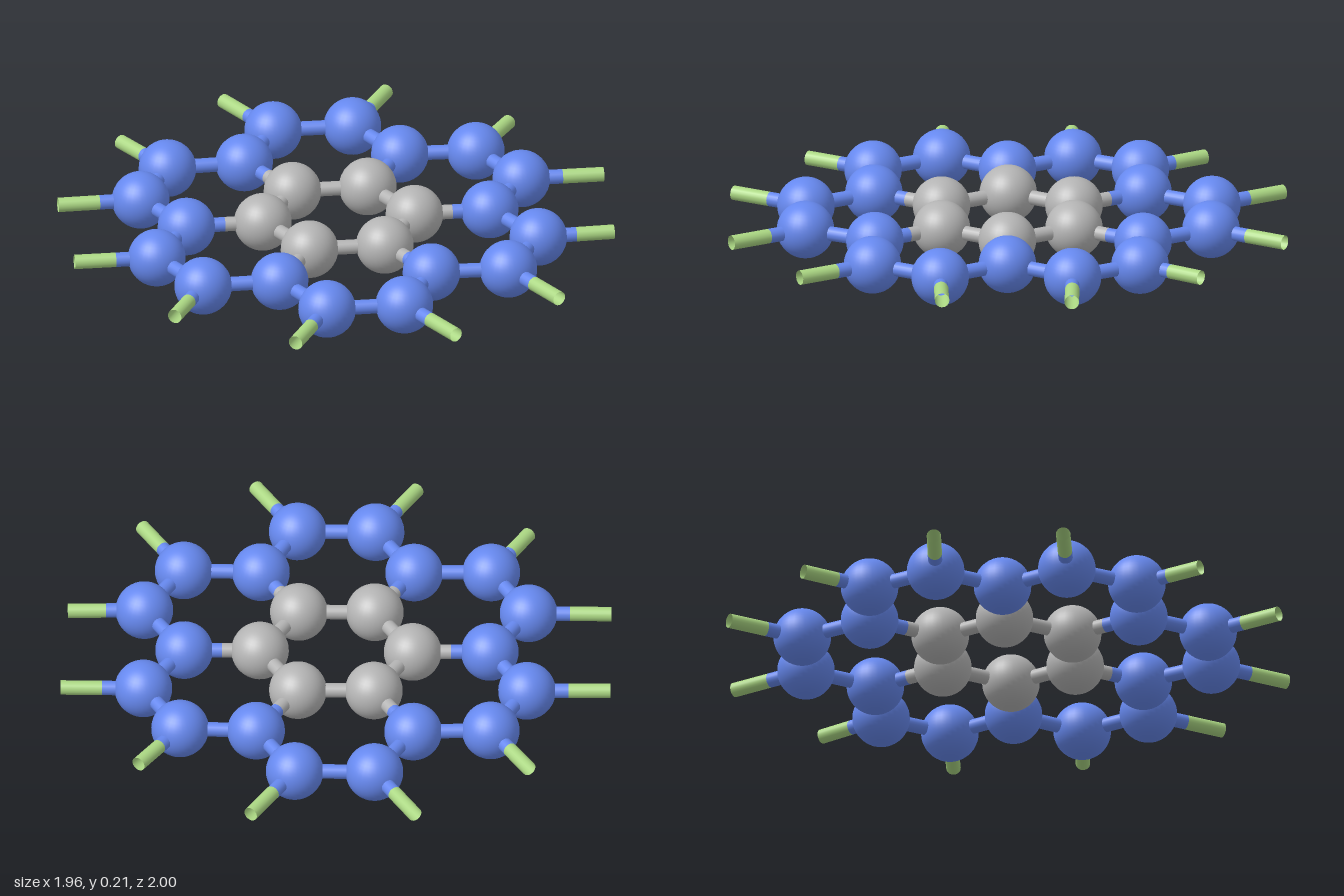
import * as THREE from 'three';

const Y = 0.104, ATOM_R = 0.103, BOND_R = 0.026;

// [x, z] atom centres: the inner ring, then the outer rim in order
const inner = [[0, -0.275], [0.235, -0.14], [0.235, 0.135], [0, 0.27], [-0.235, 0.135], [-0.235, -0.14]];
const rim = [
  [0, -0.56], [0.24, -0.705], [0.485, -0.56], [0.485, -0.28], [0.715, -0.135], [0.71, 0.14],
  [0.47, 0.27], [0.475, 0.55], [0.235, 0.69], [0, 0.545], [-0.235, 0.695], [-0.475, 0.555],
  [-0.475, 0.275], [-0.715, 0.14], [-0.71, -0.14], [-0.475, -0.275], [-0.475, -0.545], [-0.245, -0.69],
];
// Outer ends of the free bonds: [rim atom, x, z]
const tips = [
  [1, 0.24, -1], [2, 0.75, -0.71], [4, 0.95, -0.25], [5, 0.965, 0.29], [7, 0.715, 0.68], [8, 0.235, 0.99],
  [10, -0.235, 1], [11, -0.73, 0.705], [13, -0.945, 0.275], [14, -0.965, -0.29], [16, -0.735, -0.69], [17, -0.25, -0.96],
];

export function createModel() {
  const model = new THREE.Group();
  model.name = 'moleculeModel';
  const material = (color) => new THREE.MeshStandardMaterial({ color, side: THREE.DoubleSide });
  const grey = material(0xb4b4b4), blue = material(0x6688ee), green = material(0xabd783);
  const sphere = new THREE.SphereGeometry(ATOM_R, 32, 24);
  const tube = new THREE.CylinderGeometry(BOND_R, BOND_R, 1, 20, 1, true);
  const up = new THREE.Vector3(0, 1, 0);
  const point = ([x, z]) => new THREE.Vector3(x, Y, z);

  const addGroup = (name) => {
    const group = new THREE.Group();
    group.name = name;
    model.add(group);
    return group;
  };
  const atoms = addGroup('atoms'), bonds = addGroup('bonds');

  // Open tube from a to b
  function halfBond(a, b, mat, name) {
    const mesh = new THREE.Mesh(tube, mat);
    const dir = b.clone().sub(a);
    mesh.name = name;
    mesh.position.copy(a).add(b).multiplyScalar(0.5);
    mesh.scale.y = dir.length();
    mesh.quaternion.setFromUnitVectors(up, dir.normalize());
    bonds.add(mesh);
  }
  // Each bond changes colour at its midpoint
  function bond(a, b, matA, matB) {
    const mid = a.clone().lerp(b, 0.5);
    halfBond(a, mid, matA, 'bondHalf');
    halfBond(mid, b, matB, 'bondHalf');
  }

  // Atoms
  const all = [
    ...inner.map((p) => ({ pos: point(p), mat: grey, name: 'innerAtom' })),
    ...rim.map((p) => ({ pos: point(p), mat: blue, name: 'rimAtom' })),
  ];
  for (const { pos, mat, name } of all) {
    const mesh = new THREE.Mesh(sphere, mat);
    mesh.name = name;
    mesh.position.copy(pos);
    atoms.add(mesh);
  }

  // Bonds between neighbouring atoms
  all.forEach((a, i) => all.slice(i + 1).forEach((b) => {
    if (a.pos.distanceTo(b.pos) < 0.34) bond(a.pos, b.pos, a.mat, b.mat);
  }));

  // Free bonds around the rim: blue root, green open end
  for (const [i, x, z] of tips) {
    const a = point(rim[i]), b = point([x, z]), mid = a.clone().lerp(b, 0.5);
    halfBond(a, mid, blue, 'freeBondRoot');
    halfBond(mid, b, green, 'freeBondTip');
  }
  return model;
}
